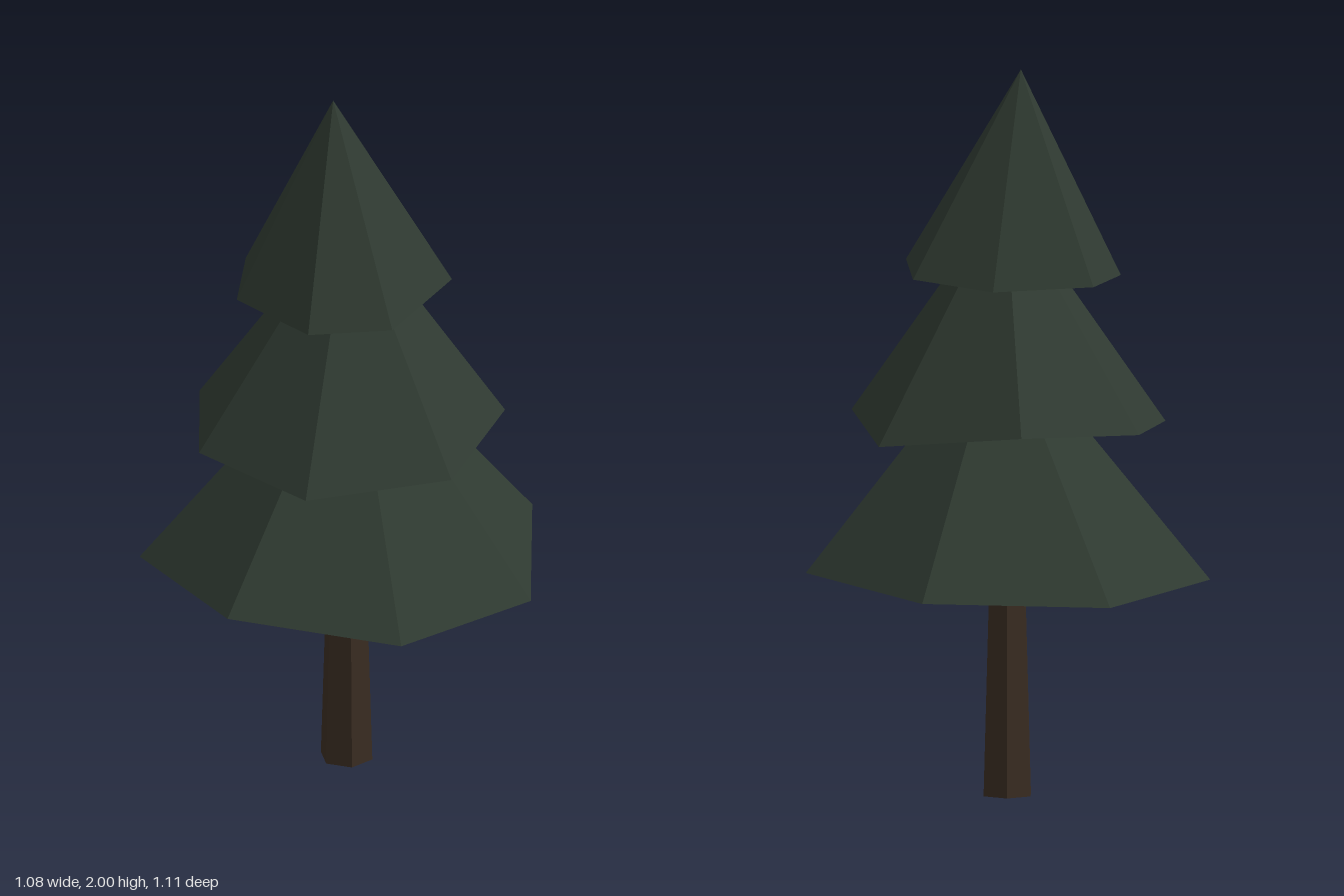
import * as THREE from 'three';

// Closed low-poly cone: an uneven rim (clockwise from above) joined to an apex and a base centre.
function foliageTier(name, apex, rim, material) {
  const centre = [0, 1, 2].map(k => rim.reduce((sum, p) => sum + p[k], 0) / rim.length);
  const positions = [];
  rim.forEach((p, i) => {
    const q = rim[(i + 1) % rim.length];
    positions.push(...q, ...p, ...apex);   // sloping side
    positions.push(...p, ...q, ...centre); // underside
  });
  const geometry = new THREE.BufferGeometry();
  geometry.setAttribute('position', new THREE.Float32BufferAttribute(positions, 3));
  geometry.computeVertexNormals();
  const mesh = new THREE.Mesh(geometry, material);
  mesh.name = name;
  return mesh;
}

export function createModel() {
  const model = new THREE.Group();
  model.name = 'pineTree';

  const needles = new THREE.MeshStandardMaterial({ color: 0x2f3a31, flatShading: true });
  needles.name = 'needleGreen';
  const bark = new THREE.MeshStandardMaterial({ color: 0x3a2d22, flatShading: true });
  bark.name = 'barkBrown';

  // Tapered six-sided trunk, its top hidden inside the lowest tier
  const trunk = new THREE.Mesh(new THREE.CylinderGeometry(0.054, 0.074, 0.66, 6, 1, false, Math.PI / 2), bark);
  trunk.position.set(-0.012, 0.33, 0.037);
  trunk.name = 'trunk';
  model.add(trunk);

  // Three stacked seven-sided tiers, each apex hidden inside the tier above
  model.add(foliageTier('lowerFoliage', [0.012, 1.3, 0.033], [
    [0, 0.598, -0.556], [0.46, 0.614, -0.33], [0.54, 0.635, 0.175], [0.205, 0.593, 0.55],
    [-0.238, 0.59, 0.52], [-0.543, 0.635, 0.15], [-0.44, 0.61, -0.33],
  ], needles));
  model.add(foliageTier('middleFoliage', [-0.007, 1.66, 0.04], [
    [0.176, 1.053, -0.376], [0.43, 1.003, -0.035], [0.318, 1.05, 0.315], [-0.012, 1.003, 0.47],
    [-0.394, 1.003, 0.303], [-0.435, 1.015, -0.09], [-0.206, 1.03, -0.35],
  ], needles));
  model.add(foliageTier('upperFoliage', [-0.044, 2, 0.018], [
    [-0.11, 1.434, -0.268], [0.16, 1.43, -0.19], [0.288, 1.445, 0.027], [0.188, 1.464, 0.244],
    [-0.1, 1.434, 0.326], [-0.286, 1.43, 0.19], [-0.29, 1.43, -0.1],
  ], needles));

  return model;
}
